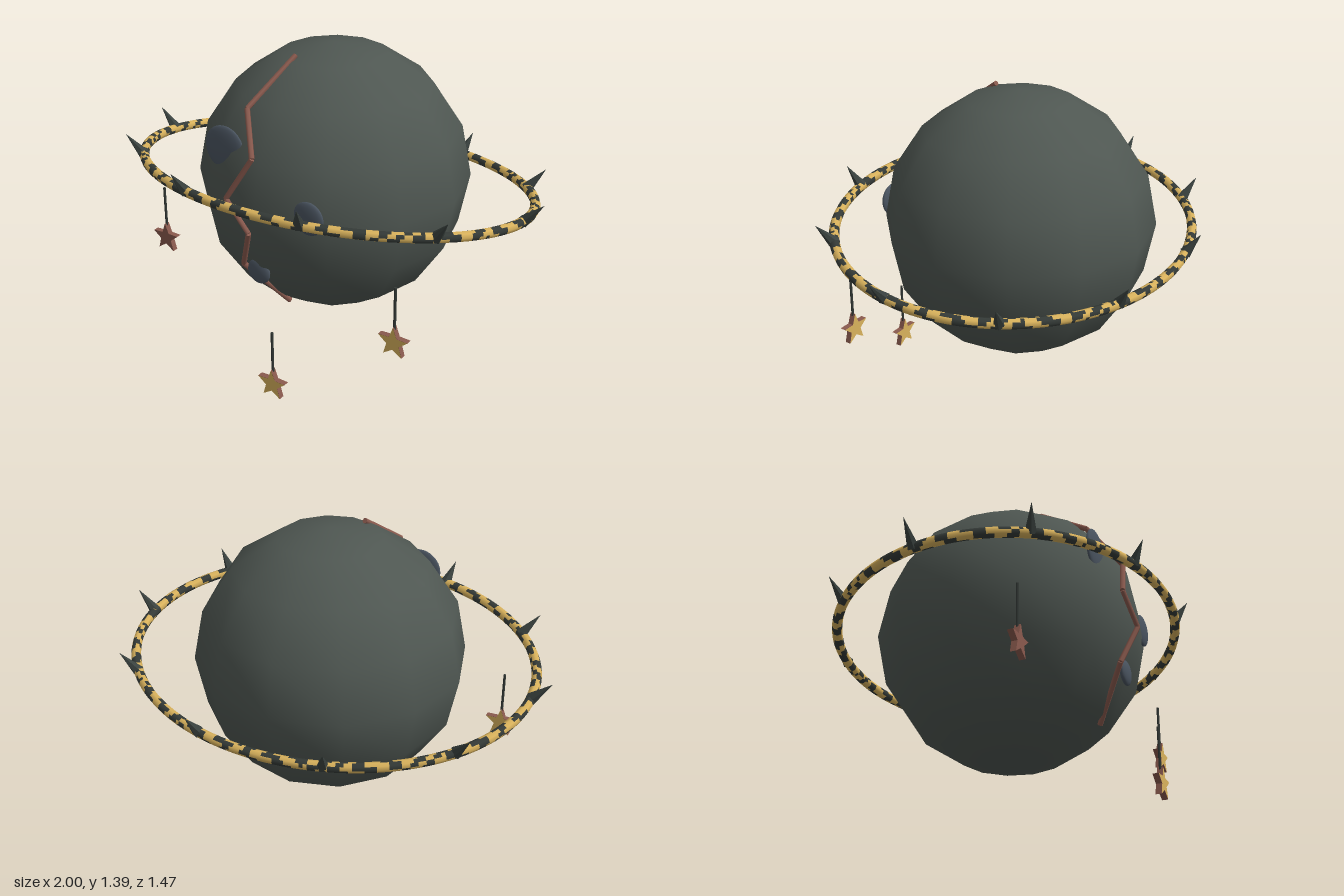
import * as THREE from 'three';

const mat = (color, extra = {}) => new THREE.MeshStandardMaterial({ color, ...extra });
const V = (x, y, z) => new THREE.Vector3(x, y, z);
const CY = 0.787, R = 0.6; // planet centre height and radius
const UP = V(0, 1, 0);

function add(parent, name, geometry, material) {
  const mesh = new THREE.Mesh(geometry, material);
  mesh.name = name;
  parent.add(mesh);
  return mesh;
}

// Thin rod or cone from a to b
function rod(parent, name, a, b, r0, r1, sides, material) {
  const d = b.clone().sub(a);
  const mesh = add(parent, name, new THREE.CylinderGeometry(r1, r0, d.length(), sides), material);
  mesh.position.copy(a).addScaledVector(d, 0.5);
  mesh.quaternion.setFromUnitVectors(UP, d.normalize());
  return mesh;
}

// Point on the tilted elliptical ring
const ringPoint = (a) => V(0.912 * Math.cos(a), CY + 0.0975 * Math.sin(a), 0.712 * Math.sin(a));

class RingCurve extends THREE.Curve {
  getPoint(t, target = V(0, 0, 0)) {
    return target.copy(ringPoint(t * Math.PI * 2));
  }
}

// Mottled ring: one tube whose faces are shared between two materials
function ringGeometry() {
  const segs = 320, sides = 8;
  const g = new THREE.TubeGeometry(new RingCurve(), segs, 0.022, sides, true);
  const src = g.index.array, light = [], dark = [];
  for (let f = 0; f < src.length / 6; f++) {
    const u = (Math.floor(f / sides) / segs) * Math.PI * 2;
    const v = ((f % sides) / sides) * Math.PI * 2;
    const n = Math.sin(43 * u + v) + 0.8 * Math.sin(67 * u - 2 * v + 1.3) + 0.6 * Math.sin(29 * u + 2 * v + 2);
    (n > 0.1 ? dark : light).push(...src.slice(f * 6, f * 6 + 6));
  }
  g.setIndex([...light, ...dark]);
  g.clearGroups();
  g.addGroup(0, light.length, 0);
  g.addGroup(light.length, dark.length, 1);
  return g;
}

function starShape(r) {
  const s = new THREE.Shape();
  for (let i = 0; i < 10; i++) {
    const a = Math.PI / 2 + (i * Math.PI) / 5, k = i % 2 ? r * 0.42 : r;
    s[i ? 'lineTo' : 'moveTo'](k * Math.cos(a), k * Math.sin(a));
  }
  s.closePath();
  return s;
}

export function createModel() {
  const model = new THREE.Group();
  model.name = 'ringedPlanet';
  const stone = mat(0x4f5752), dark = mat(0x343a37), gold = mat(0xd9b25c);
  const rust = mat(0x8a5a4e), slate = mat(0x4b5561);
  const spikeMat = mat(0x3a423f, { flatShading: true });

  // Planet
  add(model, 'planet', new THREE.SphereGeometry(R, 12, 8), stone).position.y = CY;

  // Zigzag crack lying on the front of the planet
  const crack = new THREE.Group();
  crack.name = 'crack';
  model.add(crack);
  const pts = [[-0.075, 1.36], [-0.145, 1.19], [-0.035, 1.035], [-0.15, 0.845], [-0.025, 0.725], [-0.1, 0.54], [0.03, 0.33]]
    .map(([x, y]) => V(x, y, Math.sqrt(0.605 ** 2 - x * x - (y - CY) ** 2)));
  for (let i = 0; i < pts.length - 1; i++) rod(crack, 'crackSegment', pts[i], pts[i + 1], 0.012, 0.012, 6, rust);

  // Flattened craters
  for (const [x, y, z, r] of [[-0.218, 1.02, 0.492, 0.1], [0.228, 0.835, 0.537, 0.073], [-0.025, 0.523, 0.538, 0.057]]) {
    const c = add(model, 'crater', new THREE.SphereGeometry(r, 16, 12), slate);
    c.position.set(x, y, z);
    c.scale.z = 0.018 / r;
  }

  // Ring with ten outward-leaning spikes
  add(model, 'ring', ringGeometry(), [gold, dark]);
  for (let i = 0; i < 10; i++) {
    const a = (i * Math.PI) / 5, p = ringPoint(a);
    const tip = p.clone().add(V(0.086 * Math.cos(a), 0.093, 0.06 * Math.sin(a)));
    rod(model, 'ringSpike', p, tip, 0.027, 0, 6, spikeMat);
  }

  // Hanging stars: rust body, coloured faces, string above
  const shape = starShape(0.072), depth = 0.026;
  const body = new THREE.ExtrudeGeometry(shape, { depth, bevelEnabled: false }).translate(0, 0, -depth / 2);
  const face = new THREE.ShapeGeometry(shape);
  for (const [x, y, z, front] of [[-0.7, 0.41, 0.345, rust], [0.1, 0.059, 0.627, gold], [0.6, 0.36, 0.477, gold]]) {
    const star = new THREE.Group();
    star.name = 'hangingStar';
    star.position.set(x, y, z);
    model.add(star);
    add(star, 'starBody', body, rust);
    add(star, 'starFront', face, front).position.z = depth / 2 + 0.001;
    const back = add(star, 'starBack', face, gold);
    back.position.z = -depth / 2 - 0.001;
    back.rotation.y = Math.PI;
    rod(star, 'starString', V(0, 0.06, 0), V(0, 0.25, 0), 0.006, 0.006, 6, dark);
  }
  return model;
}
